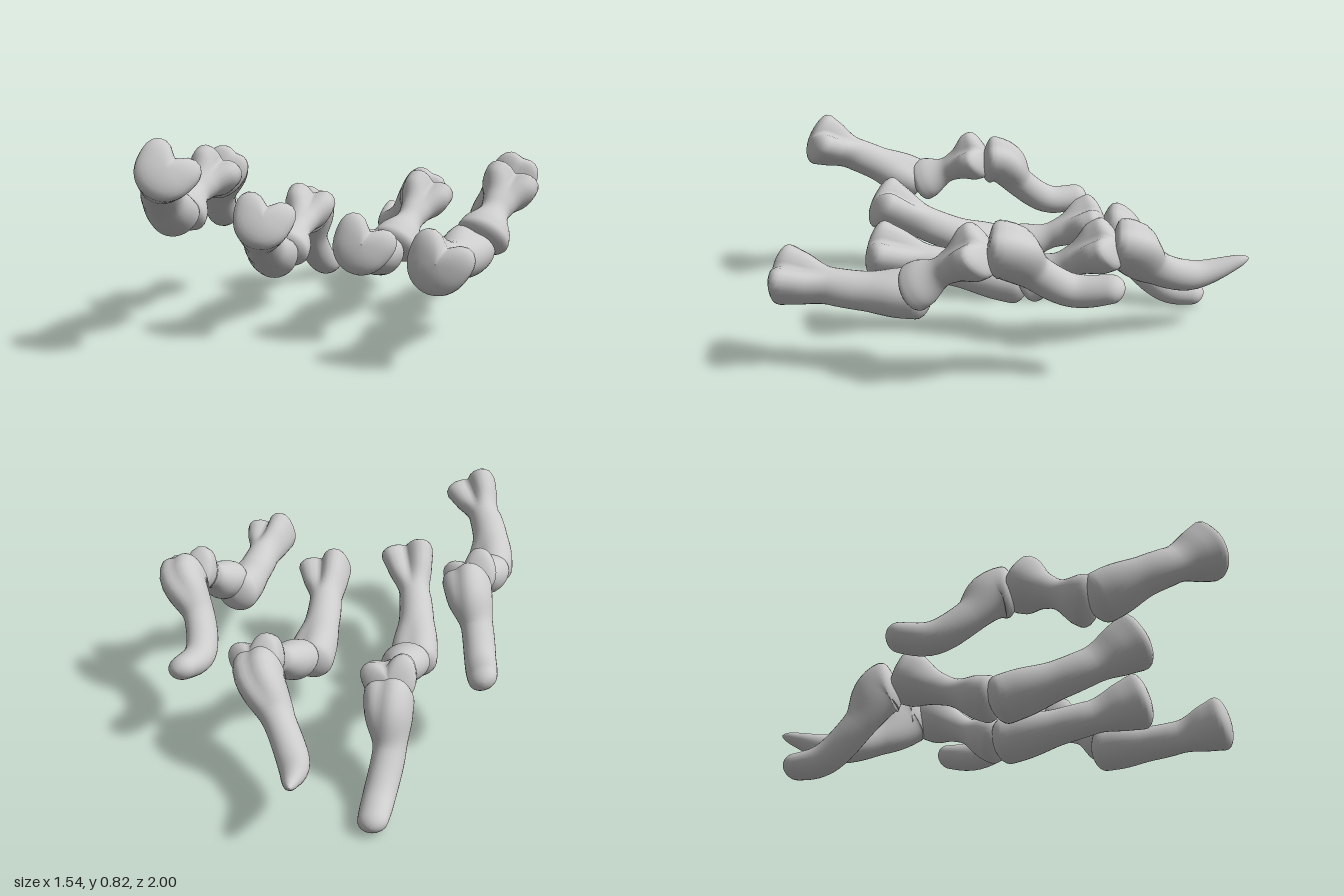
import * as THREE from 'three';

const V = (p) => new THREE.Vector3(...p);
const RINGS = 36, SIDES = 32;

// Lofts a bone along a path. Profile rows, evenly spaced: half width, half height, strength of the twin lobes on top.
function boneGeometry(path, profile, up, cap) {
  const curve = new THREE.CatmullRomCurve3(path.map(V));
  const shape = new THREE.CatmullRomCurve3(profile.map(V));
  const length = curve.getLength();
  const positions = [], index = [];
  for (let i = 0; i <= RINGS; i++) {
    const u = 0.5 - 0.5 * Math.cos((Math.PI * i) / RINGS);
    const centre = curve.getPointAt(u), T = curve.getTangentAt(u);
    const U = V(up).addScaledVector(T, -V(up).dot(T)).normalize();
    const S = U.clone().cross(T);
    const { x: w, y: h, z: lobes } = shape.getPoint(u);
    // round off both ends
    const d = Math.min(1, (Math.min(u, 1 - u) * length) / cap);
    const f = Math.max(0.001, Math.sqrt(1 - (1 - d) ** 2));
    for (let j = 0; j < SIDES; j++) {
      const a = (j / SIDES) * Math.PI * 2, c = Math.cos(a), s = Math.sin(a);
      // two knuckle lobes with a groove between them
      const t = Math.acos(THREE.MathUtils.clamp(s, -1, 1));
      const k = f * (1 + lobes * (0.45 * Math.exp(-(((t - 0.91) / 0.5) ** 2)) - Math.exp(-((t / 0.4) ** 2))));
      const p = centre.clone().addScaledVector(S, w * k * c).addScaledVector(U, h * k * s);
      positions.push(p.x, p.y, p.z);
      if (i < RINGS) {
        const A = i * SIDES + j, B = i * SIDES + ((j + 1) % SIDES);
        index.push(A, B, A + SIDES, B, B + SIDES, A + SIDES);
      }
    }
  }
  const g = new THREE.BufferGeometry();
  g.setAttribute('position', new THREE.Float32BufferAttribute(positions, 3));
  g.setIndex(index);
  g.computeVertexNormals();
  return g;
}

// Profiles from the near (knuckle) end to the far end
const PROXIMAL = [[0.125, 0.125, 0.5], [0.095, 0.1, 0.35], [0.073, 0.08, 0], [0.08, 0.08, 0], [0.1, 0.095, 0.1], [0.1, 0.1, 0.15]];
const MIDDLE = [[0.115, 0.09, 0], [0.1, 0.085, 0], [0.062, 0.06, 0], [0.07, 0.068, 0.1], [0.105, 0.1, 0.4], [0.108, 0.105, 0.45]];
const DISTAL = [[0.1, 0.125, 0.2], [0.088, 0.11, 0.1], [0.065, 0.075, 0], [0.066, 0.07, 0], [0.066, 0.06, 0], [0.058, 0.045, 0]];
const POINTED = [...DISTAL.slice(0, 4), [0.05, 0.045, 0], [0.018, 0.018, 0]];

// Finger paths, from the model's right to its left; up gives the roll of each finger
const FINGERS = [
  {
    name: 'rightOuterFinger', up: [0.56, 0.83, 0],
    proximal: [[-0.56, 0.73, 0.95], [-0.66, 0.59, 0.68], [-0.67, 0.47, 0.44]],
    middle: [[-0.66, 0.48, 0.47], [-0.62, 0.56, 0.31], [-0.56, 0.65, 0.14]],
    distal: [[-0.56, 0.62, 0.15], [-0.57, 0.6, 0.06], [-0.61, 0.49, -0.03], [-0.63, 0.4, -0.17], [-0.64, 0.42, -0.35]],
  },
  {
    name: 'rightInnerFinger', up: [0.31, 0.95, 0],
    proximal: [[-0.28, 0.51, 0.64], [-0.34, 0.35, 0.35], [-0.35, 0.23, 0.01]],
    middle: [[-0.32, 0.26, 0.04], [-0.28, 0.34, -0.18], [-0.26, 0.43, -0.4]],
    distal: [[-0.27, 0.39, -0.39], [-0.27, 0.36, -0.46], [-0.28, 0.21, -0.55], [-0.25, 0.08, -0.7], [-0.23, 0.06, -0.87]],
  },
  {
    name: 'leftInnerFinger', up: [0.47, 0.88, 0], tip: POINTED,
    proximal: [[0.1, 0.41, 0.64], [0.08, 0.32, 0.3], [0.11, 0.25, -0.05]],
    middle: [[0.15, 0.27, -0.02], [0.22, 0.38, -0.2], [0.3, 0.5, -0.4]],
    distal: [[0.25, 0.47, -0.385], [0.25, 0.46, -0.46], [0.17, 0.35, -0.56], [0.08, 0.27, -0.75], [0.06, 0.34, -1.0]],
  },
  {
    name: 'leftOuterFinger', up: [0.45, 0.9, 0],
    proximal: [[0.4, 0.41, 0.99], [0.45, 0.36, 0.65], [0.51, 0.36, 0.35]],
    middle: [[0.54, 0.39, 0.44], [0.6, 0.5, 0.29], [0.67, 0.61, 0.13]],
    distal: [[0.66, 0.6, 0.13], [0.66, 0.59, 0.05], [0.58, 0.48, -0.05], [0.55, 0.39, -0.2], [0.61, 0.42, -0.4]],
  },
];

export function createModel() {
  const model = new THREE.Group();
  model.name = 'fingerBones';
  const material = new THREE.MeshStandardMaterial({ color: 0xcccccc });
  for (const finger of FINGERS) {
    const group = new THREE.Group();
    group.name = finger.name;
    const add = (name, profile, cap) => {
      const mesh = new THREE.Mesh(boneGeometry(finger[name], profile, finger.up, cap), material);
      mesh.name = name + 'Bone';
      group.add(mesh);
    };
    add('proximal', PROXIMAL, 0.06);
    add('middle', MIDDLE, 0.045);
    add('distal', finger.tip ?? DISTAL, 0.05);
    model.add(group);
  }
  return model;
}
